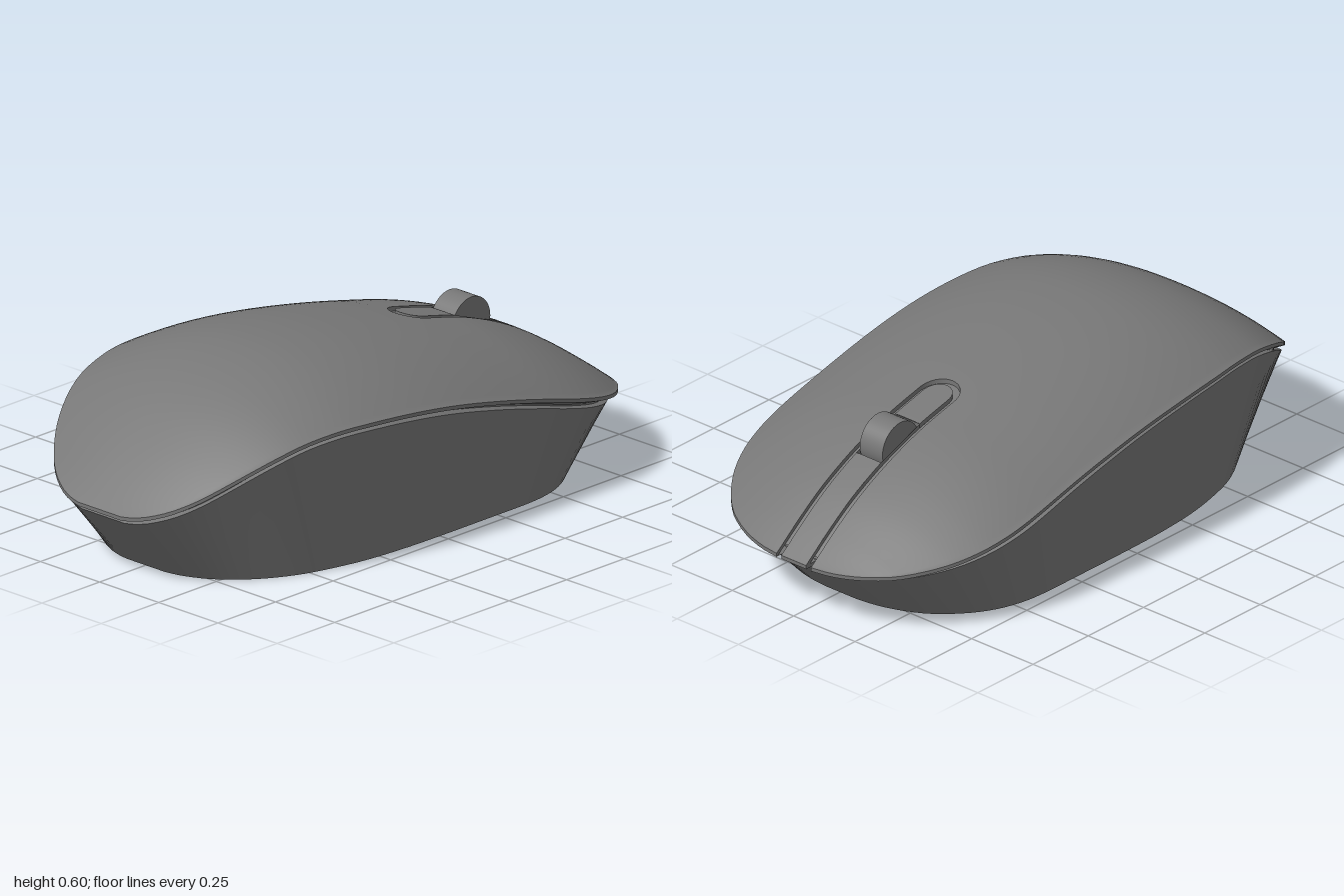
import * as THREE from 'three';

// Smooth 1D curve through [z, value] points
function profile(pts) {
  const slope = (i) => {
    const a = pts[Math.max(i - 1, 0)], b = pts[Math.min(i + 1, pts.length - 1)];
    return (b[1] - a[1]) / (b[0] - a[0]);
  };
  return (z) => {
    let i = 0;
    while (i < pts.length - 2 && z > pts[i + 1][0]) i++;
    const [z0, v0] = pts[i], [z1, v1] = pts[i + 1], h = z1 - z0;
    const t = THREE.MathUtils.clamp((z - z0) / h, 0, 1), t2 = t * t, t3 = t2 * t;
    return (2 * t3 - 3 * t2 + 1) * v0 + (t3 - 2 * t2 + t) * h * slope(i)
      + (3 * t2 - 2 * t3) * v1 + (t3 - t2) * h * slope(i + 1);
  };
}

// Half width, rim height and centreline height along the body
const width = profile([[-1, 0.07], [-0.995, 0.12], [-0.98, 0.185], [-0.95, 0.26], [-0.9, 0.34], [-0.8, 0.43],
  [-0.7, 0.484], [-0.6, 0.512], [-0.5, 0.523], [-0.3, 0.525], [0, 0.525], [0.2, 0.52], [0.4, 0.502], [0.6, 0.46],
  [0.7, 0.425], [0.8, 0.372], [0.88, 0.31], [0.94, 0.243], [0.98, 0.17], [0.995, 0.12], [1, 0.09]]);
const rim = profile([[-1, 0.19], [-0.8, 0.24], [-0.6, 0.295], [-0.4, 0.35], [-0.2, 0.398], [0, 0.437], [0.2, 0.462],
  [0.4, 0.472], [0.5, 0.467], [0.6, 0.451], [0.7, 0.417], [0.8, 0.367], [0.9, 0.302], [1, 0.235]]);
const crest = profile([[-1, 0.19], [-0.9, 0.268], [-0.8, 0.337], [-0.7, 0.391], [-0.6, 0.435], [-0.5, 0.47],
  [-0.4, 0.496], [-0.2, 0.541], [0, 0.576], [0.15, 0.594], [0.3, 0.6], [0.4, 0.593], [0.5, 0.574], [0.6, 0.541],
  [0.7, 0.49], [0.8, 0.42], [0.9, 0.335], [1, 0.235]]);

function height(x, z) {
  const u = Math.min(Math.abs(x) / width(z), 1);
  return rim(z) + (crest(z) - rim(z)) * (1 - u ** 2.2);
}

function topNormal(x, z) {
  const e = 0.004, za = Math.max(z - e, -1), zb = Math.min(z + e, 1);
  return new THREE.Vector3((height(x - e, z) - height(x + e, z)) / (2 * e), 1,
    (height(x, za) - height(x, zb)) / (zb - za)).normalize();
}

// Grid of points, given row by row
function grid(rows) {
  const n = rows[0].length, index = [];
  for (let i = 0; i < rows.length - 1; i++) for (let j = 0; j < n - 1; j++) {
    const a = i * n + j, c = a + n;
    index.push(a, a + 1, c, a + 1, c + 1, c);
  }
  const g = new THREE.BufferGeometry();
  g.setAttribute('position', new THREE.Float32BufferAttribute(rows.flat(2), 3));
  g.setIndex(index);
  g.computeVertexNormals();
  return g;
}

// z positions, closer together towards both ends
const spread = (z0, z1, n) => Array.from({ length: n + 1 },
  (_, i) => z0 + (z1 - z0) * (1 - Math.cos(Math.PI * i / n)) / 2);

// Piece of the curved top between two x limits, which are functions of z
function topPatch(zs, from, to, drop = 0, cols = 24) {
  const rows = zs.map((z) => Array.from({ length: cols + 1 }, (_, j) => {
    const x = from(z) + (to(z) - from(z)) * j / cols;
    return [x, height(x, z) - drop, z];
  }));
  const g = grid(rows), normals = rows.flat().flatMap(([x, , z]) => topNormal(x, z).toArray());
  g.setAttribute('normal', new THREE.Float32BufferAttribute(normals, 3));
  return g;
}

// Upright wall below the top surface along [x, z] points
const wall = (path, depth) => grid([0, depth].map((d) => path.map(([x, z]) => [x, height(x, z) - d, z])));

// Half width of a channel ending in a half circle
const channel = (r, c) => (z) => (z < c ? r : Math.sqrt(Math.max(r * r - (z - c) ** 2, 0)));

export function createModel() {
  const group = new THREE.Group();
  const grey = new THREE.MeshStandardMaterial({ color: 0x777777, side: THREE.DoubleSide });
  grey.name = 'grey plastic';
  const add = (name, geometry) => {
    const mesh = new THREE.Mesh(geometry, grey);
    mesh.name = name;
    group.add(mesh);
    return mesh;
  };

  const outer = channel(0.07, -0.35), inner = channel(0.05, -0.355);
  const grooveEnd = -0.28, tongueEnd = -0.305, slotBack = -0.66, slotFront = -0.485;
  const backZ = spread(-1, grooveEnd, 36), frontZ = spread(grooveEnd, 1, 48);

  // Top shell, with the groove left open
  add('topShellFront', topPatch(frontZ, width, (z) => -width(z), 0, 48));
  for (const s of [1, -1]) {
    const [a, b] = s > 0 ? [width, outer] : [outer, width];
    add('topShellSide', topPatch(backZ, (z) => s * a(z), (z) => s * b(z)));
  }

  // Centre strip, in two pieces around the wheel
  for (const zs of [spread(-1, slotBack, 16), spread(slotFront, tongueEnd, 24)])
    add('centreStrip', topPatch(zs, inner, (z) => -inner(z), 0, 8));
  const stripEnd = add('centreStripEnd', new THREE.BoxGeometry(0.1, 0.012, 0.05));
  stripEnd.position.set(0, 0.183, -0.974);

  // U-shaped groove floor and walls
  const grooveZ = spread(-0.96, grooveEnd, 40);
  for (const s of [1, -1]) {
    const [a, b] = s > 0 ? [outer, inner] : [inner, outer];
    add('grooveFloor', topPatch(grooveZ, (z) => s * a(z), (z) => s * b(z), 0.015, 2));
    add('grooveOuterWall', wall(backZ.map((z) => [s * outer(z), z]), 0.015));
    add('grooveInnerWall', wall(spread(-1, slotBack, 10).map((z) => [s * inner(z), z]), 0.015));
    add('grooveInnerWall', wall(spread(slotFront, tongueEnd, 24).map((z) => [s * inner(z), z]), 0.015));
  }

  // Wheel pocket and wheel
  const h = 0.05;
  add('wheelPocketFloor', topPatch(spread(slotBack, slotFront, 6), () => h, () => -h, 0.1, 2));
  add('wheelPocketWalls', wall([[-h, slotBack], [h, slotBack], [h, slotFront], [-h, slotFront], [-h, slotBack]], 0.1));
  const wheel = add('scrollWheel', new THREE.CylinderGeometry(0.082, 0.082, 0.092, 48));
  wheel.rotation.z = Math.PI / 2;
  wheel.position.set(0, 0.427, -0.567);

  // Outline rings around the body
  const zs = [...backZ, ...frontZ.slice(1)];
  const outline = [...zs.map((z) => [width(z), z]), ...[...zs].reverse().map((z) => [-width(z), z])];
  const closed = [...outline, outline[0]];
  const ring = (loop, sx, sz, dz, y) => loop.map(([x, z]) => [x * sx, y(z), z * sz + dz]);
  const below = (d) => (z) => rim(z) - d;

  // Lip of the shell, open at the back for the groove
  const lipTop = ring(outline, 1, 1, 0, rim), lipLow = ring(outline, 1, 1, 0, below(0.012));
  add('shellLip', grid([lipTop, lipLow]));
  add('shellLipUnderside', grid([lipLow, ring(outline, 0.965, 0.945, 0.01, below(0.012))]));

  // Narrow gap, chamfer and tapered base
  const gapLow = ring(closed, 0.965, 0.945, 0.01, below(0.017));
  const baseTop = ring(closed, 0.99, 0.97, 0.015, below(0.025));
  const baseLow = ring(closed, 0.886, 0.795, 0.005, () => 0);
  add('gapWall', grid([ring(closed, 0.965, 0.945, 0.01, below(0.008)), gapLow]));
  add('baseChamfer', grid([gapLow, baseTop]));
  add('baseWall', grid([baseTop, baseLow]));
  add('baseBottom', grid([baseLow, baseLow.map(([, , z]) => [0, 0, z])]));

  return group;
}
